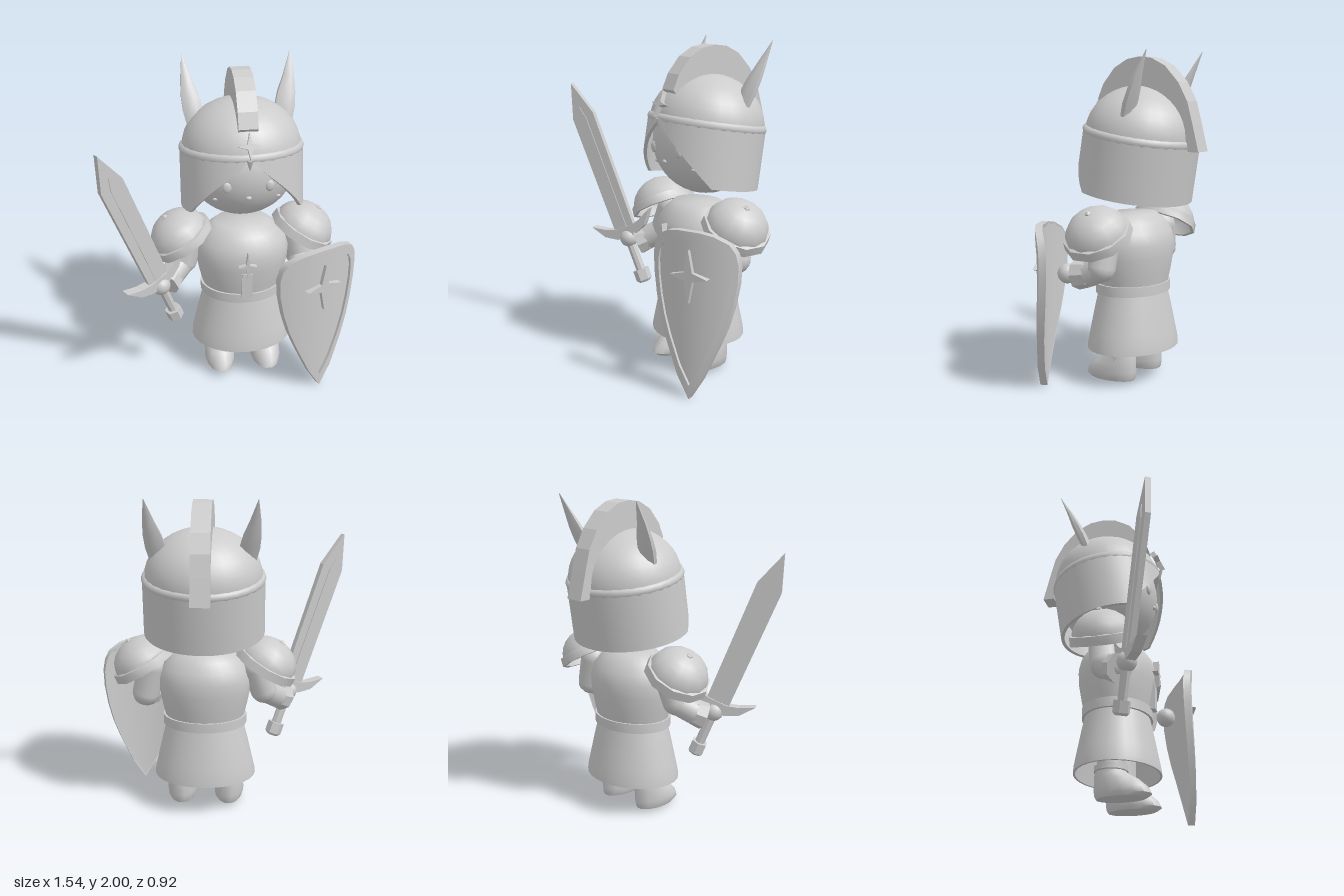
import * as THREE from 'three';
import { toCreasedNormals } from 'three/addons/utils/BufferGeometryUtils.js';

const V = (x, y, z) => new THREE.Vector3(x, y, z);
const material = new THREE.MeshStandardMaterial({ color: 0xcccccc, side: THREE.DoubleSide });

function add(parent, name, geometry, x = 0, y = 0, z = 0) {
  const mesh = new THREE.Mesh(geometry, material);
  mesh.name = name;
  mesh.position.set(x, y, z);
  parent.add(mesh);
  return mesh;
}

// Skin through cross-section loops, with optional end caps
function loft(rings, capped = true, crease = 0.7) {
  const n = rings[0].length, index = [];
  for (let i = 0; i < rings.length - 1; i++)
    for (let j = 0; j < n; j++) {
      const k = (j + 1) % n, a = i * n + j, b = i * n + k;
      index.push(a, b, b + n, a, b + n, a + n);
    }
  if (capped) {
    const e = (rings.length - 1) * n;
    for (let j = 1; j < n - 1; j++) index.push(0, j + 1, j, e, e + j, e + j + 1);
  }
  const g = new THREE.BufferGeometry().setFromPoints(rings.flat());
  g.setIndex(index);
  return toCreasedNormals(g, crease);
}

// Horizontal elliptical loop
const oval = (cx, y, cz, rx, rz, n) => Array.from({ length: n }, (_, i) => {
  const a = (i + 0.5) / n * Math.PI * 2;
  return V(cx + rx * Math.sin(a), y, cz + rz * Math.cos(a));
});

const lathe = (pts, n = 28) =>
  toCreasedNormals(new THREE.LatheGeometry(pts.map(p => new THREE.Vector2(...p)), n), 0.7);

const extrude = (pts, depth) => new THREE.ExtrudeGeometry(
  new THREE.Shape(pts.map(p => new THREE.Vector2(...p))), { depth, bevelEnabled: false }).translate(0, 0, -depth / 2);

const star = (w, h, depth) => extrude(Array.from({ length: 8 }, (_, i) => {
  const a = i * Math.PI / 4, k = i % 2 ? 0.3 : 1;
  return [Math.cos(a) * k * w, Math.sin(a) * k * (i % 2 ? w : h)];
}), depth);

// Straight limb between two points
function limb(parent, name, a, b, r0, r1, sides, round) {
  const d = b.clone().sub(a), len = d.length(), m = a.clone().addScaledVector(d, 0.5);
  const g = round ? new THREE.CapsuleGeometry(r0, len, 5, sides)
    : toCreasedNormals(new THREE.CylinderGeometry(r1, r0, len, sides), 0.6);
  add(parent, name, g, m.x, m.y, m.z).quaternion.setFromUnitVectors(V(0, 1, 0), d.normalize());
}

function buildBody(body) {
  const flat = (name, pts) => add(body, name, lathe(pts), 0, 0, 0.025).scale.z = 0.82;
  flat('torso', [[0.24, 0.58], [0.265, 0.68], [0.285, 0.78], [0.29, 0.86], [0.27, 0.93], [0.22, 0.99], [0.165, 1.035], [0, 1.035]]);
  flat('belt', [[0.24, 0.555], [0.262, 0.555], [0.262, 0.615], [0.24, 0.615]]);
  flat('skirt', [[0.24, 0.57], [0.27, 0.45], [0.3, 0.32], [0.318, 0.24], [0.32, 0.21], [0.305, 0.21], [0.285, 0.32], [0.23, 0.56]]);
  add(body, 'chestStar', star(0.055, 0.085, 0.04), 0, 0.84, 0.27);
  add(body, 'chestBar', new THREE.BoxGeometry(0.065, 0.17, 0.04), 0, 0.69, 0.245);

  for (const s of [-1, 1]) {
    // Legs and boots: height, back, front, half width
    limb(body, 'leg', V(s * 0.15, 0.15, 0.02), V(s * 0.15, 0.5, 0.02), 0.085, 0.085, 12);
    limb(body, 'bootCuff', V(s * 0.15, 0.185, 0.02), V(s * 0.15, 0.215, 0.02), 0.103, 0.103, 12);
    const rows = [[0.025, -0.07, 0.23, 0.08], [0.045, -0.08, 0.26, 0.092], [0.08, -0.082, 0.245, 0.097],
      [0.13, -0.08, 0.19, 0.093], [0.165, -0.078, 0.13, 0.085], [0.195, -0.07, 0.1, 0.08]];
    add(body, 'boot', loft(rows.map(([y, b, f, w]) => oval(s * 0.15, y, (b + f) / 2, w, (f - b) / 2, 14)), true, 0.9));

    // Shoulder guard with rim and stud
    const guard = new THREE.Group();
    guard.name = 'shoulderGuard';
    guard.position.set(s * 0.385, 0.945, 0.025);
    guard.rotation.z = -s * 0.53;
    body.add(guard);
    add(guard, 'shoulderDome', new THREE.SphereGeometry(0.19, 12, 6, 0, Math.PI * 2, 0, Math.PI / 2)).scale.y = 0.87;
    add(guard, 'shoulderRim', lathe([[0.185, -0.035], [0.207, -0.035], [0.203, 0.02], [0.18, 0.025], [0.185, -0.035]], 10));
    add(body, 'shoulderStud', new THREE.IcosahedronGeometry(0.022, 0), s * 0.475, 1.075, 0.025);
  }

  // Arms: shoulder, elbow, cuff start, cuff end, hand
  const arms = [
    [V(-0.32, 0.92, 0.01), V(-0.37, 0.77, 0.03), V(-0.45, 0.71, 0.1), V(-0.49, 0.685, 0.15), V(-0.525, 0.705, 0.2)],
    [V(0.33, 0.92, 0), V(0.37, 0.75, 0.01), V(0.37, 0.71, 0.09), V(0.365, 0.695, 0.18), V(0.36, 0.69, 0.26)]];
  for (const [shoulder, elbow, c0, c1, hand] of arms) {
    limb(body, 'upperArm', shoulder, elbow, 0.085, 0, 12, true);
    limb(body, 'forearm', elbow, c0, 0.078, 0, 12, true);
    limb(body, 'wristCuff', c0, c1, 0.08, 0.092, 8);
    add(body, 'hand', new THREE.SphereGeometry(0.06, 14, 10), hand.x, hand.y, hand.z);
  }
}

function buildHead(body) {
  add(body, 'head', new THREE.SphereGeometry(1, 32, 20), 0, 1.4, -0.03).scale.set(0.335, 0.32, 0.31);
  const faceZ = (x, y) => -0.03 + 0.31 * Math.sqrt(1 - (x / 0.335) ** 2 - ((y - 1.4) / 0.32) ** 2);
  const bump = (name, x, y, rx, ry, rz) =>
    add(body, name, new THREE.SphereGeometry(1, 12, 8), x, y, faceZ(x, y)).scale.set(rx, ry, rz);
  for (const s of [-1, 1]) {
    bump('eye', s * 0.125, 1.37, 0.028, 0.035, 0.015);
    bump('cheek', s * 0.185, 1.27, 0.018, 0.01, 0.008);
  }
  bump('nose', 0, 1.3, 0.018, 0.013, 0.014);
  const mouth = add(body, 'mouth', new THREE.TorusGeometry(0.036, 0.005, 5, 12, Math.PI * 0.8), 0, 1.29, faceZ(0, 1.26) - 0.005);
  mouth.rotation.set(0.45, 0, Math.PI * 1.1);

  // Helmet, tilted up toward the front
  const helmet = new THREE.Group();
  helmet.name = 'helmet';
  helmet.position.set(0, 1.505, -0.04);
  helmet.rotation.x = -0.163;
  body.add(helmet);
  add(helmet, 'helmetDome', new THREE.SphereGeometry(1, 28, 10, 0, Math.PI * 2, 0, Math.PI / 2)).scale.set(0.358, 0.298, 0.338);
  const band = add(helmet, 'helmetBand', new THREE.TorusGeometry(0.349, 0.027, 8, 32).rotateX(Math.PI / 2));
  band.scale.set(1, 1.1, 0.94);
  // Neck guard with a pointed opening over the face
  const rings = [];
  for (let i = 0; i <= 45; i++) {
    const deg = i * 8, a = deg * Math.PI / 180;
    const low = -0.01 - 0.345 * Math.min(1, deg / 64, (360 - deg) / 64);
    rings.push([[0.37, 0], [0.372, low], [0.35, low], [0.35, 0]].map(([r, y]) => V(r * Math.sin(a), y, 0.94 * r * Math.cos(a))));
  }
  add(helmet, 'neckGuard', loft(rings, false));

  // Crest, drawn in the side plane as (z, y)
  const crest = extrude([[0.24, 1.72], [0.2, 1.81], [0.12, 1.905], [0.03, 1.955], [-0.055, 1.97], [-0.14, 1.96], [-0.23, 1.915],
    [-0.32, 1.82], [-0.38, 1.71], [-0.415, 1.58], [-0.455, 1.42], [-0.385, 1.42], [-0.36, 1.55], [-0.28, 1.67],
    [-0.15, 1.75], [0, 1.76], [0.12, 1.73], [0.2, 1.68]], 0.115);
  add(body, 'crest', crest.rotateY(-Math.PI / 2));
  add(body, 'helmetStar', star(0.068, 0.08, 0.03), 0, 1.64, 0.295).rotation.x = -0.45;
  add(body, 'bandPoint', new THREE.ConeGeometry(0.022, 0.07, 4).rotateX(Math.PI), 0, 1.525, 0.305);

  // Horns: offset, height, depth, half width, half thickness
  const horn = [[0.265, 1.62, -0.1, 0.055, 0.03], [0.275, 1.7, -0.13, 0.066, 0.036], [0.29, 1.78, -0.165, 0.058, 0.032],
    [0.308, 1.87, -0.205, 0.036, 0.02], [0.325, 2, -0.27, 0.002, 0.002]];
  for (const s of [-1, 1])
    add(body, 'horn', loft(horn.map(([x, y, z, rx, rz]) => oval(s * x, y, z, rx, rz, 8)), true, 0.9));
}

function buildSword(root) {
  const sword = new THREE.Group();
  sword.name = 'sword';
  const up = V(-0.34, 1, 0.208).normalize(), out = V(0.522, 0, 0.853).normalize();
  sword.quaternion.setFromRotationMatrix(new THREE.Matrix4().makeBasis(up.clone().cross(out), up, out));
  sword.position.set(-0.425, 0.705, 0.2);
  root.add(sword);
  add(sword, 'blade', extrude([[-0.072, 0.05], [0.072, 0.05], [0.078, 0.84], [0, 1.06], [-0.078, 0.84]], 0.035));
  add(sword, 'bladeRib', extrude([[-0.022, 0.05], [0.022, 0.05], [0.02, 0.82], [0, 0.9], [-0.02, 0.82]], 0.047));
  add(sword, 'crossGuard', extrude([[-0.22, 0.14], [-0.15, 0.05], [-0.07, 0.01], [0, 0], [0.07, 0.01], [0.15, 0.05],
    [0.22, 0.14], [0.13, 0.095], [0.06, 0.075], [-0.06, 0.075], [-0.13, 0.095]], 0.06));
  limb(sword, 'grip', V(0, -0.25, 0), V(0, 0.05, 0), 0.03, 0.03, 8);
  limb(sword, 'pommel', V(0, -0.29, 0), V(0, -0.22, 0), 0.052, 0.052, 6);
  limb(sword, 'pommelCap', V(0, -0.305, 0), V(0, -0.29, 0), 0.035, 0.05, 6);
}

function buildShield(root) {
  const shield = new THREE.Group();
  shield.name = 'shield';
  shield.position.set(0.51, 0, 0.32);
  shield.rotation.y = 0.41;
  root.add(shield);
  const bend = (u, y, z) => V(u, y, z + 0.075 * (1 - (u / 0.28) ** 2));
  // Half widths from the tip to the top edge
  const half = [[0, 0], [0.08, 0.13], [0.165, 0.32], [0.215, 0.45], [0.25, 0.58], [0.272, 0.71], [0.277, 0.82],
    [0.262, 0.89], [0.23, 0.94], [0.15, 0.98], [0.07, 0.995]];
  const across = Array.from({ length: 11 }, (_, i) => i / 5 - 1);
  add(shield, 'shieldPanel', loft(half.map(([w, y]) => [
    ...across.map(t => bend(t * w, y, 0.004)), ...across.map(t => bend(-t * w, y, -0.02))])));
  // Raised rim following the outline
  const outline = [...half, ...half.slice(1).reverse().map(([w, y]) => [-w, y]), half[0]];
  add(shield, 'shieldRim', loft(outline.map(([u, y]) => {
    const iu = u * 0.84, iy = 0.6 + (y - 0.6) * 0.86;
    return [bend(u, y, 0.022), bend(u, y, -0.022), bend(iu, iy, -0.01), bend(iu, iy, 0.022)];
  }), false));
  add(shield, 'shieldStar', star(0.122, 0.155, 0.045), 0, 0.735, 0.08);
}

export function createModel() {
  const root = new THREE.Group();
  root.name = 'knight';
  const body = new THREE.Group();
  body.name = 'body';
  body.position.x = 0.1;
  root.add(body);
  buildBody(body);
  buildHead(body);
  buildSword(root);
  buildShield(root);
  return root;
}
